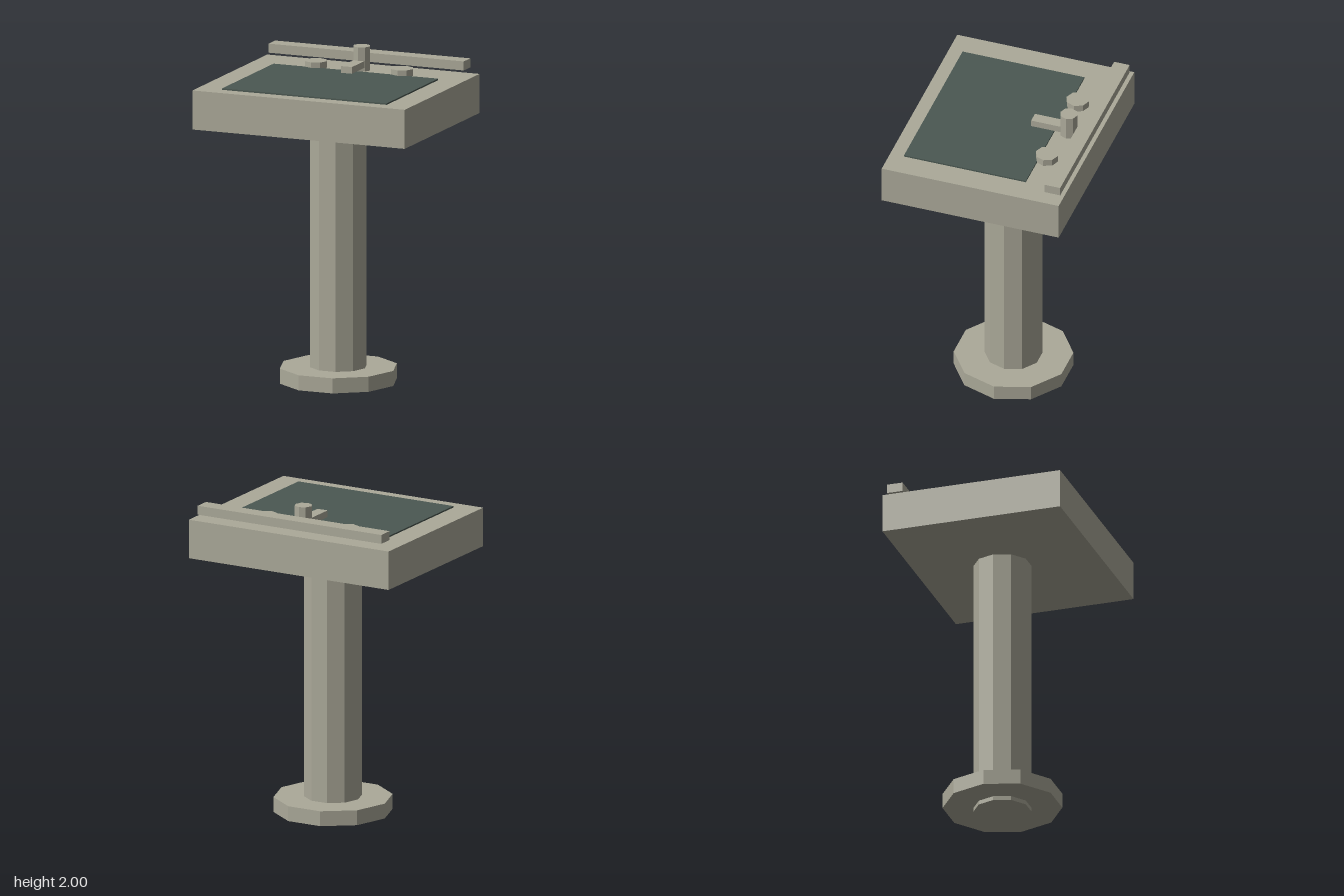
import * as THREE from 'three';

export function createModel() {
  const stone = new THREE.MeshStandardMaterial({ color: 0xaba999 });
  stone.name = 'warm grey';
  const teal = new THREE.MeshStandardMaterial({ color: 0x4b5852 });
  teal.name = 'dark teal';
  stone.flatShading = teal.flatShading = true;

  const model = new THREE.Group();
  model.name = 'pedestalSink';

  function add(name, geometry, material, x, y, z) {
    const mesh = new THREE.Mesh(geometry, material);
    mesh.name = name;
    mesh.position.set(x, y, z);
    model.add(mesh);
  }

  // Box given by its full width and its y and z ranges, centred on x
  function box(name, material, width, y0, y1, z0, z1) {
    add(name, new THREE.BoxGeometry(width, y1 - y0, z1 - z0), material, 0, (y0 + y1) / 2, (z0 + z1) / 2);
  }

  // Upright prism with a corner on the x axis
  function prism(name, sides, radius, y0, y1, x, z) {
    const geometry = new THREE.CylinderGeometry(radius, radius, y1 - y0, sides, 1, false, Math.PI / 2);
    add(name, geometry, stone, x, (y0 + y1) / 2, z);
  }

  // Pedestal
  prism('column', 10, 0.173, 0, 1.63, 0, -0.035);
  prism('baseRing', 10, 0.357, 0.025, 0.117, 0, -0.035);

  // Basin slab, inset bowl surface and rear rail
  box('basin', stone, 1.38, 1.615, 1.853, -0.558, 0.558);
  box('bowlSurface', teal, 1.07, 1.853, 1.862, -0.297, 0.471);
  box('rearRail', stone, 1.268, 1.89, 1.945, -0.548, -0.45);

  // Tap and its two handles
  prism('tapPost', 8, 0.054, 1.853, 2, 0, -0.384);
  box('spout', stone, 0.07, 1.876, 1.917, -0.384, -0.158);
  for (const side of [1, -1]) {
    prism(side > 0 ? 'leftHandle' : 'rightHandle', 8, 0.07, 1.853, 1.895, side * 0.28, -0.343);
  }

  return model;
}
